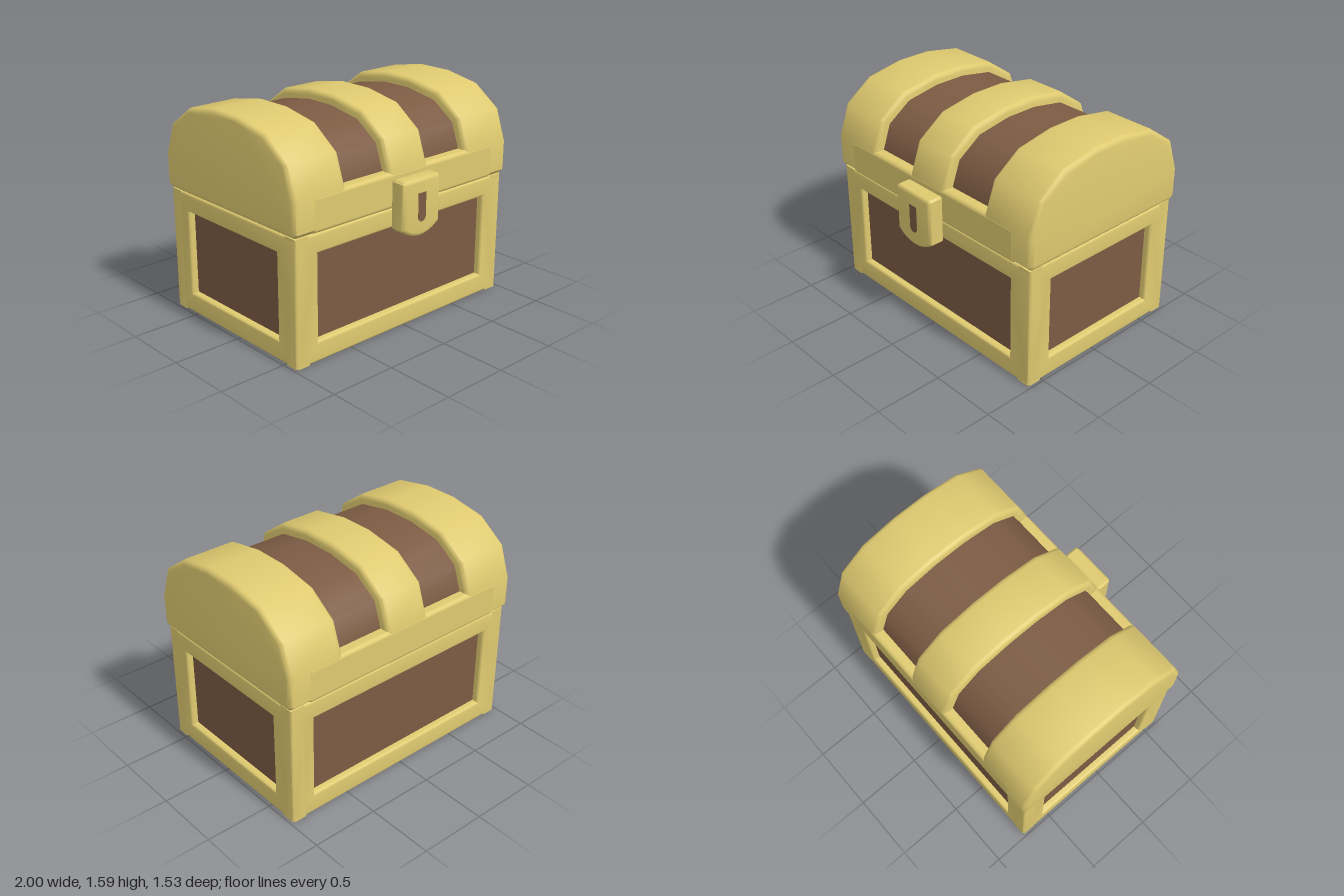
import * as THREE from 'three';
import { toCreasedNormals } from 'three/addons/utils/BufferGeometryUtils.js';
import { RoundedBoxGeometry } from 'three/addons/geometries/RoundedBoxGeometry.js';

const MID_Z = -0.06; // the box sits slightly back, the lock sticks out in front

// Extrude a shape to an overall thickness, centred, with rounded edges inside its outline
function slab(shape, thickness, bevel) {
  const depth = thickness - 2 * bevel;
  const geo = new THREE.ExtrudeGeometry(shape, {
    depth, curveSegments: 8, bevelEnabled: bevel > 0, bevelSegments: 3,
    bevelSize: bevel, bevelThickness: bevel, bevelOffset: -bevel,
  });
  geo.translate(0, 0, -depth / 2);
  return toCreasedNormals(geo, 0.7);
}

function rect(target, halfW, y0, y1) {
  target.moveTo(-halfW, y0);
  target.lineTo(halfW, y0);
  target.lineTo(halfW, y1);
  target.lineTo(-halfW, y1);
  target.closePath();
  return target;
}

// Mirror the right half of a profile into a closed shape
function mirrored(half) {
  const left = half.map(([x, y]) => [-x, y]).reverse();
  return new THREE.Shape([...half, ...left].map(([x, y]) => new THREE.Vector2(x, y)));
}

export function createModel() {
  const gold = new THREE.MeshStandardMaterial({ color: 0xdfca70 });
  gold.name = 'gold';
  const wood = new THREE.MeshStandardMaterial({ color: 0x7d5b43 });
  wood.name = 'brown wood';

  const model = new THREE.Group();
  model.name = 'treasureChest';
  const base = new THREE.Group();
  base.name = 'base';
  const lid = new THREE.Group();
  lid.name = 'lid';
  base.position.z = lid.position.z = MID_Z;
  model.add(base, lid);

  const add = (parent, name, geo, mat, x = 0, y = 0, z = 0, ry = 0) => {
    const mesh = new THREE.Mesh(geo, mat);
    mesh.name = name;
    mesh.position.set(x, y, z);
    mesh.rotation.y = ry;
    parent.add(mesh);
    return mesh;
  };

  // Base: wooden core behind four framed openings
  const HX = 0.98, HZ = 0.68, H = 0.91, T = 0.12, RECESS = 0.05;
  add(base, 'woodPanels', new THREE.BoxGeometry(2 * (HX - RECESS), 0.8, 2 * (HZ - RECESS)), wood, 0, 0.455, 0);
  const frame = (halfW, holeW) => {
    const shape = rect(new THREE.Shape(), halfW, 0, H);
    shape.holes.push(rect(new THREE.Path(), holeW, 0.15, 0.77));
    return slab(shape, T, 0.02);
  };
  const longFrame = frame(HX, 0.79), shortFrame = frame(HZ, 0.485);
  for (const s of [1, -1]) {
    add(base, s > 0 ? 'frontFrame' : 'backFrame', longFrame, gold, 0, 0, s * (HZ - T / 2));
    add(base, s > 0 ? 'leftFrame' : 'rightFrame', shortFrame, gold, s * (HX - T / 2), 0, 0, Math.PI / 2);
  }
  const plate = new THREE.BoxGeometry(2 * HX - 0.06, 0.04, 2 * HZ - 0.06);
  add(base, 'bottomPlate', plate, gold, 0, 0.02, 0);
  add(base, 'topPlate', plate, gold, 0, H - 0.02, 0);

  // Lid: wooden vault, three raised bands and a rail around the foot
  const vault = mirrored([[0.63, 0.95], [0.63, 1.15], [0.56, 1.35], [0.38, 1.475], [0.12, 1.52]]);
  add(lid, 'woodVault', slab(vault, 1.8, 0), wood, 0, 0, 0, Math.PI / 2);
  const arch = mirrored([[0.67, 0.915], [0.7, 0.945], [0.7, 1.16], [0.62, 1.39], [0.41, 1.54], [0.13, 1.59]]);
  const bands = [['rightBand', -0.7825, 0.435], ['middleBand', 0, 0.36], ['leftBand', 0.7825, 0.435]];
  for (const [name, x, width] of bands) {
    add(lid, name, slab(arch, width, 0.035), gold, x, 0, 0, Math.PI / 2);
  }
  add(lid, 'lidRail', new RoundedBoxGeometry(1.7, 0.255, 1.404, 3, 0.03), gold, 0, 1.0425, 0);

  // Lock: rounded plate with a curved lower edge and a keyhole
  const lock = new THREE.Group();
  lock.name = 'lock';
  model.add(lock);
  const lockShape = new THREE.Shape();
  lockShape.moveTo(0.175, 0.79);
  lockShape.lineTo(0.175, 1.115);
  lockShape.lineTo(0.16, 1.13);
  lockShape.lineTo(-0.16, 1.13);
  lockShape.lineTo(-0.175, 1.115);
  lockShape.lineTo(-0.175, 0.79);
  lockShape.quadraticCurveTo(-0.1, 0.722, 0, 0.72);
  lockShape.quadraticCurveTo(0.1, 0.722, 0.175, 0.79);
  add(lock, 'lockPlate', slab(lockShape, 0.123, 0.025), gold, 0, 0, 0.7025);

  const keyhole = new THREE.Shape();
  keyhole.moveTo(0.036, 1.03);
  keyhole.lineTo(-0.036, 1.03);
  keyhole.lineTo(-0.036, 0.861);
  keyhole.absarc(0, 0.861, 0.036, Math.PI, 2 * Math.PI, false);
  keyhole.closePath();
  add(lock, 'keyhole', slab(keyhole, 0.006, 0), wood, 0, 0, 0.763);

  return model;
}
